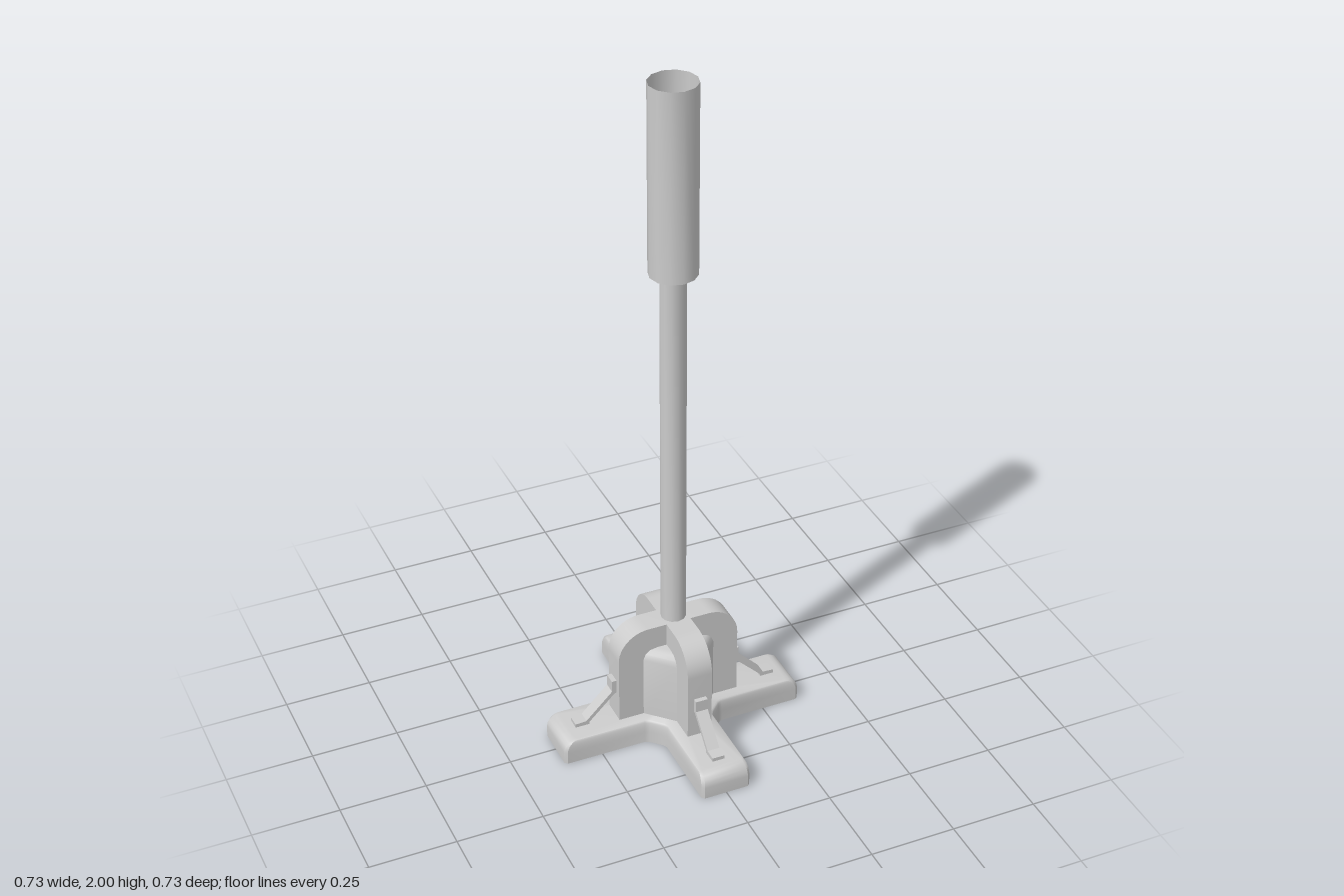
import * as THREE from 'three';
import { toCreasedNormals } from 'three/addons/utils/BufferGeometryUtils.js';

const material = new THREE.MeshStandardMaterial({ color: 0xcccccc, side: THREE.DoubleSide });

function part(name, geometry, crease = 0.7) {
  const mesh = new THREE.Mesh(toCreasedNormals(geometry, crease), material);
  mesh.name = name;
  return mesh;
}

// Skin stacked outlines [{ y, pts: [[x, z], ...] }], open below and closed on top
function loft(rings) {
  const n = rings[0].pts.length;
  const pos = [];
  const idx = [];
  for (const { y, pts } of rings) for (const [x, z] of pts) pos.push(x, y, z);
  for (let j = 0; j < rings.length - 1; j++) {
    for (let i = 0; i < n; i++) {
      const a = j * n + i, b = j * n + (i + 1) % n;
      idx.push(a, a + n, b, b, a + n, b + n);
    }
  }
  const last = (rings.length - 1) * n;
  const centre = rings.length * n;
  pos.push(0, rings[rings.length - 1].y, 0);
  for (let i = 0; i < n; i++) idx.push(centre, last + (i + 1) % n, last + i);
  const g = new THREE.BufferGeometry();
  g.setAttribute('position', new THREE.Float32BufferAttribute(pos, 3));
  g.setIndex(idx);
  return g;
}

// Repeat one arm's outline points four times around the centre
function fourfold(pts) {
  const out = [];
  for (let k = 0; k < 4; k++) {
    const c = Math.round(Math.cos(k * Math.PI / 2)), s = Math.round(Math.sin(k * Math.PI / 2));
    for (const [x, z] of pts) out.push([x * c - z * s, x * s + z * c]);
  }
  return out;
}

// Cross-shaped foot outline, pulled in at arm ends and sides
function crossOutline(end, side) {
  const w = 0.073 - side, L = 0.363 - end, r = 0.008;
  const half = [[L, w - r], [L - r, w], [0.12 - side * 0.4, w], [0.108 - side * 0.7, 0.079 - side * 0.8]];
  const mirrored = half.map(([x, z]) => [x, -z]).reverse();
  return fourfold([...mirrored, ...half]);
}

// Centre a shape's extrusion across its width
function slab(shape, width, curveSegments = 6) {
  return new THREE.ExtrudeGeometry(shape, { depth: width, bevelEnabled: false, curveSegments })
    .translate(0, 0, -width / 2);
}

export function createModel() {
  const model = new THREE.Group();

  // Hollow cross foot with rounded arm ends
  const footRings = [{ y: 0, pts: crossOutline(0, 0) }];
  for (let i = 0; i <= 5; i++) {
    const a = i / 5 * Math.PI / 2;
    footRings.push({
      y: 0.036 + 0.037 * Math.sin(a),
      pts: crossOutline(0.037 * (1 - Math.cos(a)), 0.007 * (1 - Math.cos(a))),
    });
  }
  model.add(part('crossFoot', loft(footRings)));

  // Eight-sided core with a rounded top
  const core = (d) => fourfold([[0.108 - d, -0.036 + d * 0.4], [0.108 - d, 0.036 - d * 0.4]]);
  model.add(part('core', loft([
    { y: 0.07, pts: core(0) },
    { y: 0.262, pts: core(0) },
    { y: 0.28, pts: core(0.005) },
    { y: 0.291, pts: core(0.015) },
    { y: 0.295, pts: core(0.03) },
  ])));

  // Two crossing arched ribs
  const arch = new THREE.Shape();
  arch.moveTo(-0.182, 0.07);
  arch.lineTo(0.182, 0.07);
  arch.absarc(0.092, 0.275, 0.09, 0, Math.PI / 2, false);
  arch.absarc(-0.092, 0.275, 0.09, Math.PI / 2, Math.PI, false);
  arch.closePath();
  for (let k = 0; k < 2; k++) {
    const rib = part('archedRib', slab(arch, 0.073));
    rib.rotation.y = k * Math.PI / 2;
    model.add(rib);
  }

  // Bent straps from each rib down to its arm
  const strap = new THREE.Shape([
    [0.18, 0.2], [0.18, 0.158], [0.187, 0.158], [0.266, 0.08], [0.266, 0.072], [0.308, 0.072],
    [0.308, 0.084], [0.275, 0.086], [0.196, 0.165], [0.196, 0.2],
  ].map(([x, y]) => new THREE.Vector2(x, y)));
  for (let k = 0; k < 4; k++) {
    const mesh = part('strap', slab(strap, 0.036), 0.3);
    mesh.rotation.y = k * Math.PI / 2;
    model.add(mesh);
  }

  // Pole widening into an open-topped sleeve
  const profile = [[0.036, 0.29], [0.036, 1.46], [0.067, 1.46], [0.067, 2]]
    .map(([x, y]) => new THREE.Vector2(x, y));
  model.add(part('poleAndSleeve', new THREE.LatheGeometry(profile, 12)));

  return model;
}
